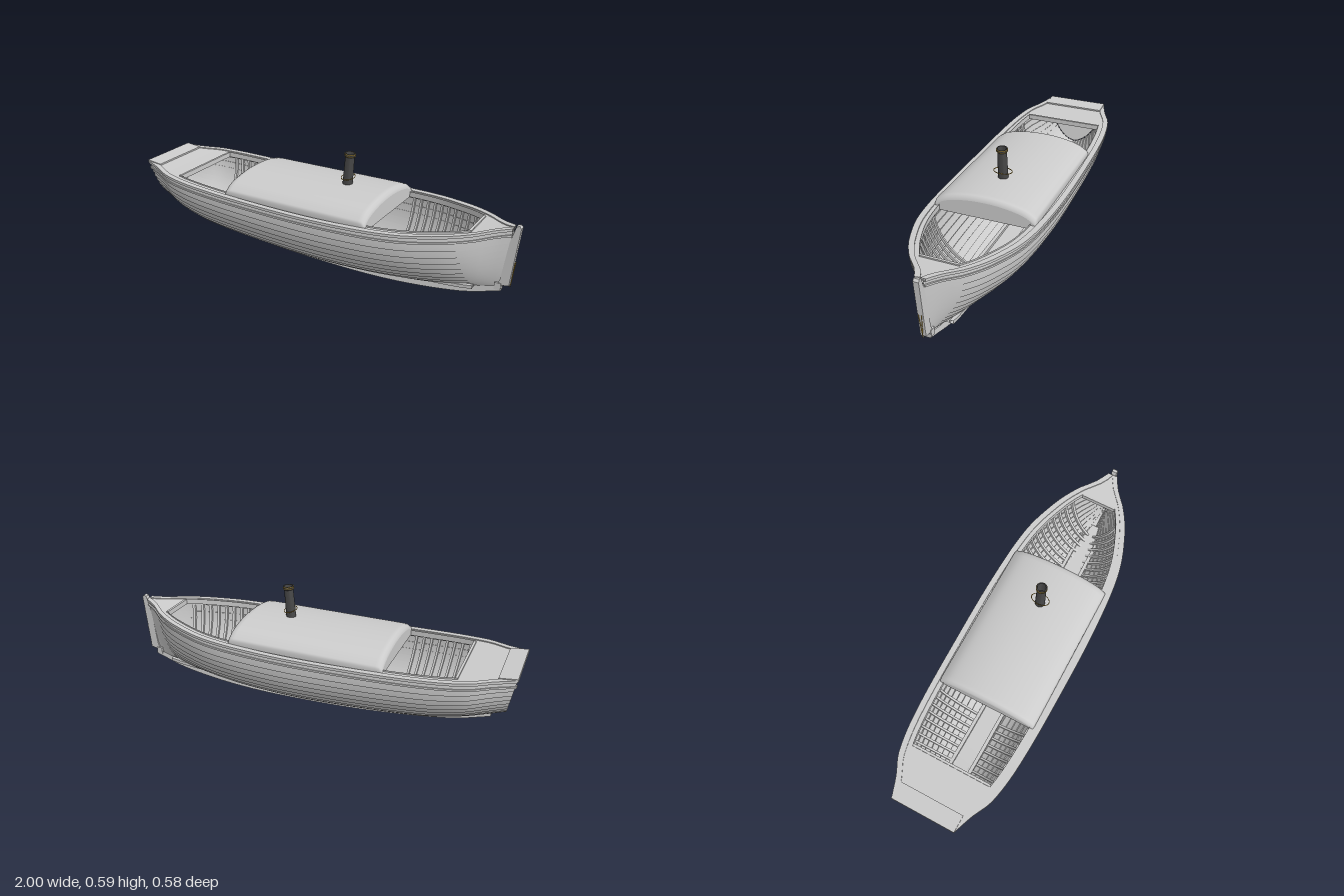
import * as THREE from 'three';
import { mergeGeometries, toCreasedNormals } from 'three/addons/utils/BufferGeometryUtils.js';

const lerp = THREE.MathUtils.lerp;

// Smooth function through a few [x, y] points (cubic Hermite)
function fit(p) {
  const m = p.map((_, i) => {
    const a = p[Math.max(0, i - 1)], b = p[Math.min(p.length - 1, i + 1)];
    return (b[1] - a[1]) / (b[0] - a[0]);
  });
  return (x) => {
    let i = 0;
    while (i < p.length - 2 && x > p[i + 1][0]) i++;
    const h = p[i + 1][0] - p[i][0];
    const t = THREE.MathUtils.clamp((x - p[i][0]) / h, 0, 1), t2 = t * t, t3 = t2 * t;
    return (2 * t3 - 3 * t2 + 1) * p[i][1] + (t3 - 2 * t2 + t) * h * m[i]
      + (3 * t2 - 2 * t3) * p[i + 1][1] + (t3 - t2) * h * m[i + 1];
  };
}

// Hull lines: half beam, sheer height, bottom height, section sharpness
const beam = fit([[-0.995, 0.15], [-0.9, 0.185], [-0.8, 0.232], [-0.6, 0.263], [-0.2, 0.277], [0.2, 0.276],
  [0.5, 0.25], [0.7, 0.185], [0.82, 0.118], [0.9, 0.05], [0.965, 0.012]]);
const sheer = fit([[-0.995, 0.37], [-0.7, 0.35], [-0.3, 0.338], [0.1, 0.338], [0.5, 0.352], [0.8, 0.376], [0.965, 0.398]]);
const bottom = fit([[-0.995, 0.14], [-0.85, 0.1], [-0.6, 0.058], [0, 0.03], [0.5, 0.038], [0.8, 0.06], [0.965, 0.1]]);
const sharp = fit([[-0.995, 1.15], [-0.5, 1], [0.3, 1], [0.965, 1.6]]);
const X0 = -0.995, X1 = 0.965;

// Point on the hull: u from stern to bow, a from keel to sheer, off = outward offset
function hullPoint(u, a, side, off = 0) {
  const x = lerp(X0, X1, u), th = a * Math.PI / 2, s = Math.sin(th), c = Math.cos(th), t = 1 - c;
  const k = bottom(x), o = off * Math.min(1, (1 - u) * 10);
  return [lerp(-0.95 - 0.045 * t, 0.935 + 0.03 * t, u),
    k + (sheer(x) - k) * t - o * c,
    side * Math.max(0, beam(x) * Math.pow(s, sharp(x)) + o * s)];
}

// Surface from an n by m grid of points
function grid(n, m, fn) {
  const pos = [], idx = [];
  for (let i = 0; i <= n; i++) for (let j = 0; j <= m; j++) pos.push(...fn(i / n, j, i));
  for (let i = 0; i < n; i++) for (let j = 0; j < m; j++) {
    const a = i * (m + 1) + j, b = a + m + 1;
    idx.push(a, b, a + 1, b, b + 1, a + 1);
  }
  const g = new THREE.BufferGeometry();
  g.setAttribute('position', new THREE.Float32BufferAttribute(pos, 3));
  g.setIndex(idx);
  g.computeVertexNormals();
  return g;
}

export function createModel() {
  const boat = new THREE.Group();
  const material = (name, color) => new THREE.MeshStandardMaterial({ name, color, side: THREE.DoubleSide });
  const paint = material('pale grey paint', 0xcccccc);
  const iron = material('dark iron', 0x484848);
  const brass = material('brass', 0xb8963c);
  const add = (name, geo, mat = paint, x = 0, y = 0, z = 0, parent = boat) => {
    const mesh = new THREE.Mesh(geo, mat);
    mesh.name = name;
    mesh.position.set(x, y, z);
    parent.add(mesh);
    return mesh;
  };
  const both = (make) => mergeGeometries([make(1), make(-1)]);

  // Overlapping hull planks, each with a small lip along its lower edge
  const STRAKES = 13, LAP = 0.006;
  const planks = [];
  for (const side of [1, -1]) for (let k = 0; k < STRAKES; k++) {
    const a0 = k / STRAKES, a1 = (k + 1) / STRAKES;
    planks.push(grid(56, 3, (u, j) => hullPoint(u, lerp(a0, a1, j / 3), side, LAP * (1 - j / 3))));
    planks.push(grid(56, 1, (u, j) => hullPoint(u, a0, side, j * LAP)));
  }
  add('hullPlanks', mergeGeometries(planks));

  // Flat raked transom with a sloping cap
  add('transom', grid(16, 1, (a, j) => hullPoint(0, a, j * 2 - 1, 0.002)));
  const cap = add('transomCap', new THREE.BoxGeometry(0.085, 0.014, 0.325), paint, -0.957, 0.37, 0);
  cap.rotation.z = -0.1;

  // Rails swept along the sheer
  const rail = (section) => both((side) => toCreasedNormals(grid(60, section.length, (u, j) => {
    const x = lerp(X0, X1, u), [dz, dy] = section[j % section.length];
    return [x, sheer(x) + dy, side * Math.max(0, beam(x) + dz)];
  }), 0.6));
  add('gunwale', rail([[-0.016, 0.005], [0.013, 0.005], [0.013, -0.008], [-0.016, -0.008]]));
  add('rubbingStrip', rail([[-0.012, -0.027], [0.008, -0.027], [0.008, -0.036], [-0.012, -0.036]]));

  // Side decks, end decks and the coaming round the openings
  const inner = (x) => Math.max(0, beam(x) - 0.04);
  const AFT = -0.74, FORE = 0.8;
  add('sideDecks', both((side) => grid(40, 1, (t, j) => {
    const x = lerp(AFT, FORE, t);
    return [x, sheer(x), side * (j ? beam(x) : inner(x))];
  })));
  const endDeck = (xa, xb) => grid(16, 4, (t, j) => {
    const x = lerp(xa, xb, t);
    return [x, sheer(x), (j / 2 - 1) * beam(x)];
  });
  add('aftDeck', endDeck(X0, AFT));
  add('foreDeck', endDeck(FORE, X1));
  add('coaming', both((side) => grid(40, 1, (t, j) => {
    const x = lerp(AFT, FORE, t);
    return [x, sheer(x) + (j ? 0.008 : -0.02), side * inner(x)];
  })));
  for (const x of [AFT, FORE])
    add('deckBeam', new THREE.BoxGeometry(0.012, 0.026, 2 * inner(x)), paint, x, sheer(x) - 0.006, 0);

  // Ribs inside the two open wells
  const ribs = [];
  for (const [from, to] of [[-0.72, -0.42], [0.38, 0.8]])
    for (let x = from; x < to; x += 0.04) for (const side of [1, -1]) {
      const u = (x - X0) / (X1 - X0);
      ribs.push(toCreasedNormals(grid(10, 3, (t, j) =>
        hullPoint(u + (j < 2 ? -0.003 : 0.003), lerp(0.1, 0.96, t), side, j % 3 ? -0.012 : 0)), 0.7));
    }
  add('ribs', mergeGeometries(ribs));

  // Bottom boards with a stringer on each side
  const boardHalf = (x) => Math.min(0.05, beam(x) * 0.4);
  add('bottomBoards', grid(30, 1, (t, j) => {
    const x = lerp(-0.76, 0.82, t);
    return [x, bottom(x) + 0.02, (j * 2 - 1) * boardHalf(x)];
  }));
  add('stringers', both((side) => toCreasedNormals(grid(30, 4, (t, j) => {
    const x = lerp(-0.76, 0.82, t), q = j % 4;
    return [x, bottom(x) + (q === 1 || q === 2 ? 0.034 : 0.018), side * (boardHalf(x) + (q > 1 ? 0.012 : -0.006))];
  }), 0.6)));

  // Broad keel with a groove along its underside, closed at both ends
  const keelY = fit([[-0.88, 0.088], [-0.7, 0.045], [-0.35, 0.014], [0, 0], [0.4, 0.002], [0.75, 0.032], [0.935, 0.082]]);
  const keelW = fit([[-0.88, 0.012], [-0.4, 0.042], [0, 0.05], [0.4, 0.046], [0.8, 0.02], [0.935, 0.013]]);
  const keelSection = [[-0.85, 1], [-1, 0], [-0.4, 0], [0, 0.45], [0.4, 0], [1, 0], [0.85, 1]];
  add('keel', toCreasedNormals(grid(42, 6, (t, j, i) => {
    const x = lerp(-0.88, 0.935, THREE.MathUtils.clamp((i - 1) / 40, 0, 1));
    const w = keelW(x), y = keelY(x), top = bottom(x) + 0.016, [sz, sy] = keelSection[j];
    const end = i === 0 || i === 42;
    return [x, lerp(y, top, sy === 0.45 ? 0.45 * w / 0.05 : sy), end ? 0 : sz * w];
  }), 0.6));

  // Stem post and its heel
  const stem = new THREE.Shape([[0.905, 0.085], [0.937, 0.082], [0.94, 0.112], [0.972, 0.118], [0.985, 0.25], [1, 0.405],
    [0.992, 0.416], [0.978, 0.412], [0.955, 0.33], [0.93, 0.14]].map(([x, y]) => new THREE.Vector2(x, y)));
  add('stemPost', new THREE.ExtrudeGeometry(stem, { depth: 0.026, bevelEnabled: false }), paint, 0, 0, -0.013);
  add('heelBlock', new THREE.BoxGeometry(0.03, 0.034, 0.034), paint, 0.922, 0.104, 0);

  // Brass stays on the stem, joined at an iron eye
  for (const side of [1, -1]) {
    const path = new THREE.LineCurve3(new THREE.Vector3(0.976, 0.118, 0), new THREE.Vector3(0.987, 0.235, side * 0.007));
    add('stemStay', new THREE.TubeGeometry(path, 1, 0.0018, 6), brass);
  }
  add('stemEye', new THREE.SphereGeometry(0.006, 12, 8), iron, 0.973, 0.115, 0);

  // Cabin with a domed roof and rounded ends
  const dome = [[0.252, 0.325], [0.252, 0.365], [0.238, 0.382], [0.2, 0.404], [0.14, 0.42], [0.07, 0.43], [0, 0.433]];
  const profile = new THREE.SplineCurve([...dome, ...dome.slice(0, -1).reverse().map(([z, y]) => [-z, y])]
    .map(([z, y]) => new THREE.Vector2(z, y)));
  const arch = profile.getPoints(48);
  // Each ring is [x, inset from the roof surface]
  const rings = [[-0.414, 0.025], [-0.41, 0.01], [-0.398, 0.002], [-0.38, 0], [0.33, 0], [0.349, 0.002], [0.361, 0.01], [0.365, 0.025]];
  const roofPoint = ([x, inset], j) => {
    const p = arch[j], lift = (x - 0.3) * 0.012;
    return [x, Math.max(0.325, p.y - inset + lift), p.x * (1 - inset * 0.45)];
  };
  add('cabinRoof', grid(rings.length - 1, 48, (t, j, i) => roofPoint(rings[i], j)));
  for (const ring of [rings[0], rings[rings.length - 1]])
    add('cabinEnd', grid(1, 48, (t, j) => {
      const [x, y, z] = roofPoint(ring, j);
      return [x, t ? y : 0.325, z];
    }));

  // Slightly raked funnel with brass bands and an oval brass ring
  const funnel = new THREE.Group();
  funnel.name = 'funnel';
  funnel.position.set(0.138, 0.42, 0);
  funnel.rotation.z = -0.08;
  boat.add(funnel);
  const outline = [[0.0245, 0], [0.0225, 0.15], [0.026, 0.155], [0.026, 0.168], [0.021, 0.168], [0.02, 0.1], [0, 0.1]];
  add('funnelPipe', toCreasedNormals(new THREE.LatheGeometry(outline.map(([r, y]) => new THREE.Vector2(r, y)), 32), 0.5),
    iron, 0, 0, 0, funnel);
  const ring = (name, r, tube, y) => {
    const m = add(name, new THREE.TorusGeometry(r, tube, 8, 36), brass, 0, y, 0, funnel);
    m.rotation.x = Math.PI / 2;
    return m;
  };
  ring('funnelBand', 0.026, 0.0018, 0.165);
  ring('funnelBand', 0.026, 0.0018, 0.156);
  ring('funnelRing', 0.046, 0.0022, 0.045).scale.x = 0.62;

  return boat;
}
